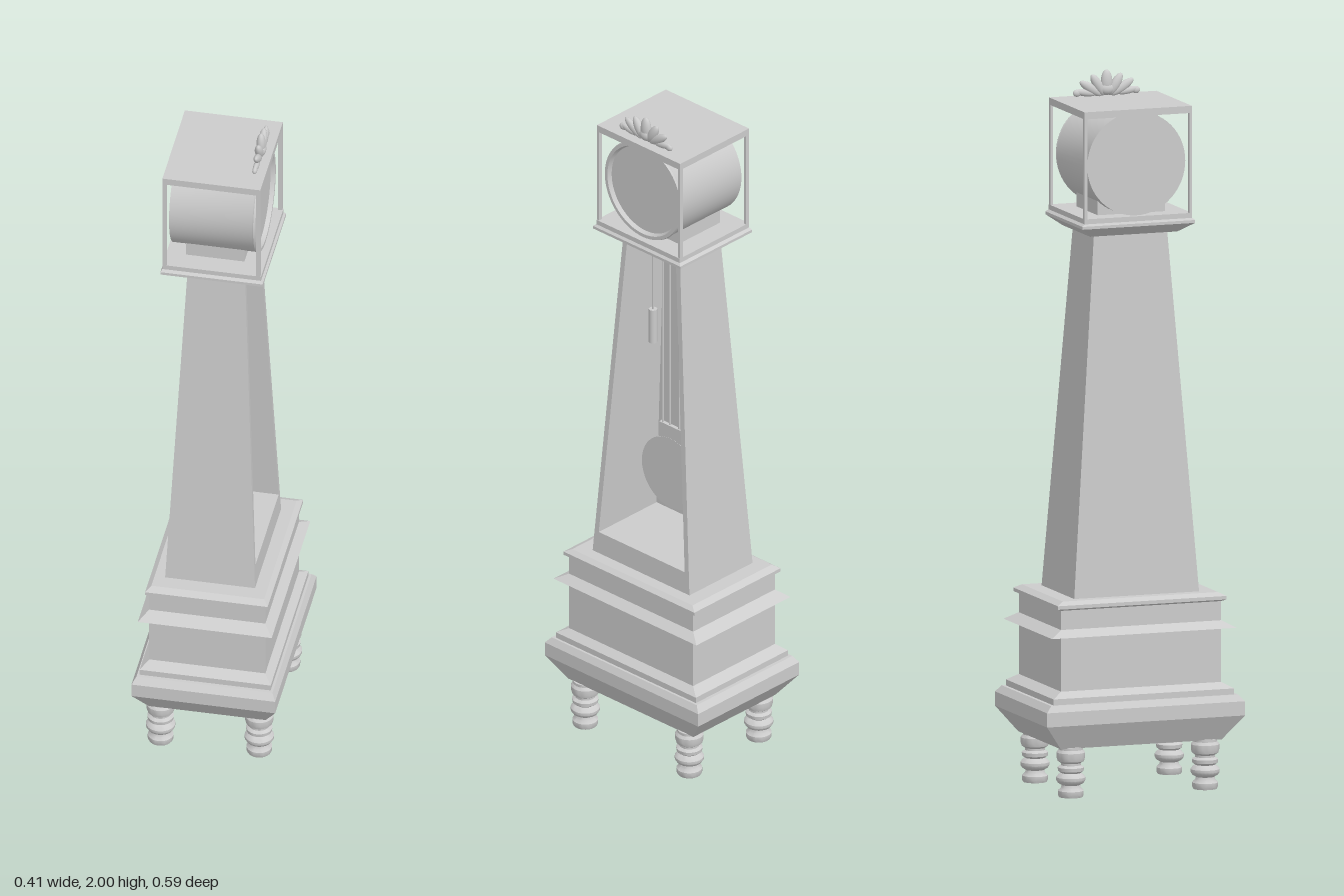
import * as THREE from 'three';
import { toCreasedNormals } from 'three/addons/utils/BufferGeometryUtils.js';

const material = new THREE.MeshStandardMaterial({ color: 0xcccccc });

function add(parent, name, geometry, x = 0, y = 0, z = 0) {
  const mesh = new THREE.Mesh(geometry, material);
  mesh.name = name;
  mesh.position.set(x, y, z);
  parent.add(mesh);
  return mesh;
}

const box = (w, h, d) => new THREE.BoxGeometry(w, h, d);
const rod = (r, h, sides = 12) => new THREE.CylinderGeometry(r, r, h, sides);

// Stacks rectangular sections [y, x0, x1, z0, z1] from bottom to top, capped at both ends
function loft(sections) {
  const rings = sections.map(([y, x0, x1, z0, z1]) => [[x0, y, z1], [x1, y, z1], [x1, y, z0], [x0, y, z0]]);
  const pos = [];
  const quad = (a, b, c, d) => pos.push(...a, ...b, ...c, ...a, ...c, ...d);
  for (let k = 0; k < rings.length - 1; k++) {
    for (let i = 0; i < 4; i++) {
      const j = (i + 1) % 4;
      quad(rings[k][i], rings[k][j], rings[k + 1][j], rings[k + 1][i]);
    }
  }
  quad(...rings[rings.length - 1]);
  quad(...[...rings[0]].reverse());
  const g = new THREE.BufferGeometry();
  g.setAttribute('position', new THREE.Float32BufferAttribute(pos, 3));
  g.computeVertexNormals();
  return g;
}

// Mitred moulding from [y, half width] pairs; depth follows the width by a fixed ratio
const moulding = (pairs, ratio) => loft(pairs.map(([y, h]) => [y, -h, h, -h * ratio, h * ratio]));

function lathe(points, segments = 32) {
  const g = new THREE.LatheGeometry(points.map(([r, y]) => new THREE.Vector2(r, y)), segments);
  return toCreasedNormals(g, 0.6);
}

function createBase() {
  const base = new THREE.Group();
  base.name = 'base';

  add(base, 'plinth', moulding([
    [0.14, 0.166], [0.21, 0.204], [0.25, 0.204], [0.268, 0.193], [0.268, 0.186],
    [0.285, 0.186], [0.302, 0.165],
    [0.455, 0.165], [0.456, 0.19], [0.476, 0.165],
    [0.53, 0.165], [0.535, 0.174], [0.545, 0.174], [0.555, 0.16],
  ], 1.445));

  // Turned feet
  const profile = [
    [0, 0], [0.033, 0], [0.036, 0.006], [0.036, 0.018], [0.028, 0.026], [0.026, 0.034],
    [0.036, 0.04], [0.041, 0.048], [0.041, 0.056], [0.034, 0.064], [0.028, 0.068],
    [0.036, 0.074], [0.037, 0.084], [0.028, 0.09], [0.028, 0.096],
    [0.037, 0.102], [0.04, 0.112], [0.04, 0.126], [0.034, 0.134], [0.034, 0.142], [0, 0.142],
  ];
  const footGeometry = lathe(profile, 24);
  for (const x of [-0.14, 0.14]) for (const z of [-0.2, 0.2]) add(base, 'foot', footGeometry, x, 0, z);
  return base;
}

function createTrunk() {
  const trunk = new THREE.Group();
  trunk.name = 'trunk';
  const bottom = 0.555, top = 1.572, wall = 0.016;
  // Taper of the case at height y
  const at = (y) => {
    const t = (y - bottom) / (top - bottom);
    return { back: -0.13 + 0.048 * t, front: 0.125 - 0.043 * t, side: 0.186 - 0.077 * t };
  };
  const panel = (y0, y1, section) => loft([y0, y1].map((y) => [y, ...section(at(y))]));

  add(trunk, 'backPanel', panel(bottom, top, (s) => [s.back, s.back + wall, -s.side, s.side]));
  add(trunk, 'leftPanel', panel(bottom, top, (s) => [s.back, s.front, -s.side, -s.side + wall]));
  add(trunk, 'rightPanel', panel(bottom, top, (s) => [s.back, s.front, s.side - wall, s.side]));
  add(trunk, 'trunkFloor', panel(bottom, 0.62, (s) => [s.back + wall, s.front, -s.side + wall, s.side - wall]));

  // Pendulum
  add(trunk, 'pendulumBob', rod(0.11, 0.012, 40), 0, 0.825, 0).rotation.z = Math.PI / 2;
  add(trunk, 'pendulumBracket', box(0.011, 0.06, 0.088), 0, 0.944, 0);
  for (const z of [0.035, 0.008, -0.028]) add(trunk, 'pendulumRod', rod(0.003, 0.605, 8), 0, 1.27, z);

  // Hanging weights
  for (const z of [0.073, -0.071]) {
    add(trunk, 'weight', rod(0.012, 0.105, 16), 0, 1.267, z);
    add(trunk, 'weightCord', rod(0.0025, 0.26, 8), 0, 1.445, z);
  }
  return trunk;
}

function createHood() {
  const hood = new THREE.Group();
  hood.name = 'hood';
  const cx = -0.004, hx = 0.139, hz = 0.16;

  add(hood, 'hoodCornice', loft([
    [1.57, -0.107, 0.107, -0.13, 0.13],
    [1.598, -0.147, 0.143, -0.168, 0.168],
    [1.606, -0.147, 0.143, -0.168, 0.168],
    [1.612, -0.143, 0.137, -0.16, 0.16],
    [1.626, -0.143, 0.137, -0.16, 0.16],
  ]));
  add(hood, 'hoodRoof', box(hx * 2, 0.02, hz * 2), cx, 1.918, 0);
  for (const sx of [-1, 1]) for (const sz of [-1, 1]) {
    add(hood, 'hoodPost', box(0.012, 0.285, 0.008), cx + sx * (hx - 0.006), 1.767, sz * (hz - 0.004));
  }

  // Movement drum with a recessed dial facing +x
  add(hood, 'drumSupport', box(0.166, 0.05, 0.2), -0.005, 1.646, 0);
  const drum = add(hood, 'movementDrum', lathe([
    [0, -0.127], [0.146, -0.127], [0.146, 0.108], [0.148, 0.112], [0.146, 0.118],
    [0.136, 0.118], [0.131, 0.106], [0, 0.106],
  ], 64), 0, 1.772, 0);
  drum.rotation.z = -Math.PI / 2;
  return hood;
}

function createCrest() {
  const crest = new THREE.Group();
  crest.name = 'crest';
  crest.position.set(0.105, 1.93, 0);
  const leaf = new THREE.SphereGeometry(1, 16, 12);

  // Fan of leaves: [lean angle, length, half width, thickness, root offset]
  const leaves = [
    [0, 0.072, 0.017, 0.013, 0], [0.55, 0.07, 0.014, 0.012, 0.008],
    [1.0, 0.078, 0.013, 0.01, 0.014], [1.4, 0.066, 0.01, 0.008, 0.032],
  ];
  for (const [angle, length, width, depth, root] of leaves) {
    for (const side of angle ? [-1, 1] : [1]) {
      const reach = length / 2;
      const m = add(crest, 'crestLeaf', leaf, 0,
        Math.max(Math.cos(angle) * reach, 0.01), side * (root + Math.sin(angle) * reach));
      m.scale.set(depth, reach, width);
      m.rotation.x = side * angle;
    }
  }
  // Scrolled ends and central boss
  for (const side of [-1, 1]) add(crest, 'crestScroll', leaf, 0, 0.01, side * 0.088).scale.set(0.007, 0.01, 0.012);
  add(crest, 'crestBoss', leaf, 0, 0.018, 0).scale.set(0.015, 0.018, 0.022);
  return crest;
}

export function createModel() {
  const model = new THREE.Group();
  model.name = 'longcaseClock';
  model.add(createBase(), createTrunk(), createHood(), createCrest());
  return model;
}
